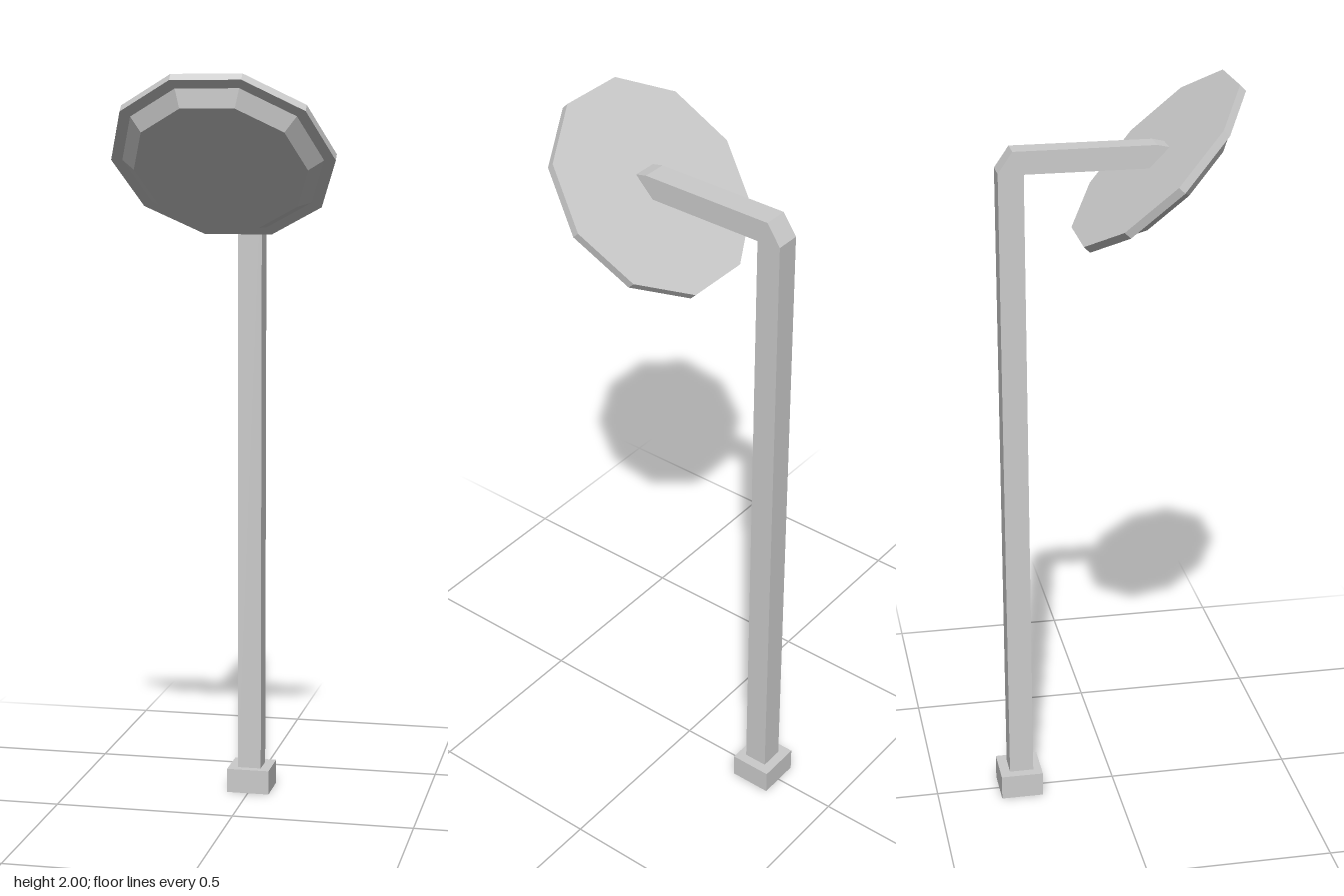
import * as THREE from 'three';

const material = new THREE.MeshStandardMaterial({ color: 0xcccccc, flatShading: true });

function addPart(group, name, geometry) {
  const mesh = new THREE.Mesh(geometry, material);
  mesh.name = name;
  group.add(mesh);
  return mesh;
}

export function createModel() {
  const group = new THREE.Group();
  group.name = 'streetLamp';

  // Square foot
  addPart(group, 'base', new THREE.BoxGeometry(0.12, 0.068, 0.116)).position.set(0, 0.034, -0.267);

  // Pole and arm: one side outline (z, y) with a chamfered elbow, extruded across x
  const outline = [
    [-0.298, 0.03], [-0.232, 0.03], [-0.232, 1.783], [0.092, 1.783],
    [0.141, 1.836], [0.11, 1.843], [-0.26, 1.843], [-0.298, 1.788],
  ].map(([z, y]) => new THREE.Vector2(z, y));
  const width = 0.066;
  const post = new THREE.ExtrudeGeometry(new THREE.Shape(outline), { depth: width, bevelEnabled: false });
  post.translate(0, 0, -width / 2);
  post.rotateY(-Math.PI / 2);
  addPart(group, 'poleAndArm', post);

  // Ten-sided head: rim plate, ledge, bevel and flat face, tilted forward and down
  const profile = [
    [0, 0], [0.295, 0], [0.295, 0.022], [0.265, 0.022], [0.228, 0.057], [0, 0.057],
  ].map(([r, h]) => new THREE.Vector2(r, h));
  const head = addPart(group, 'head', new THREE.LatheGeometry(profile, 10, Math.PI / 2));
  head.rotation.x = Math.PI * 0.75;
  head.position.set(0, 1.802, 0.108);

  return group;
}
